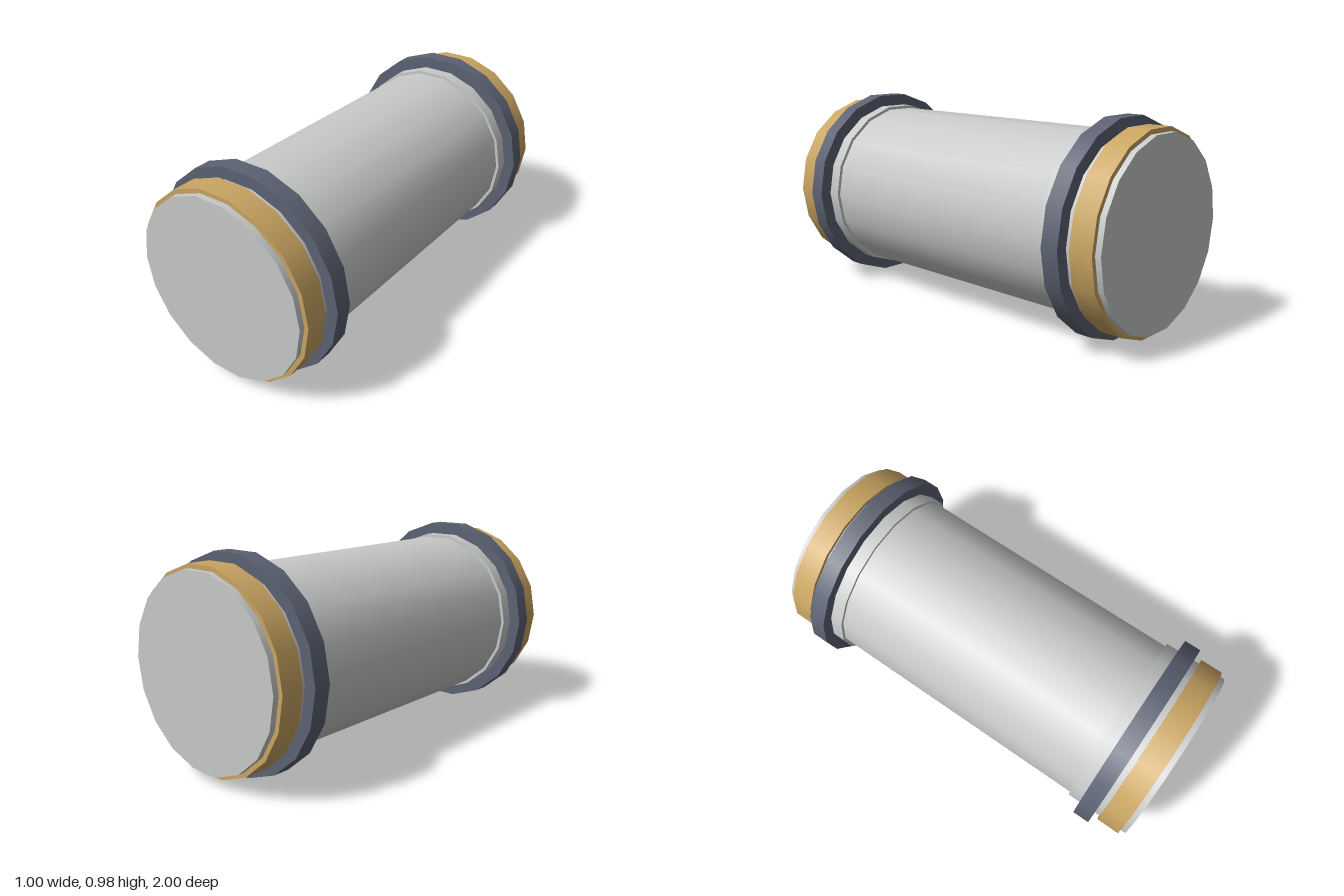
import * as THREE from 'three';

const SIDES = 18;
const CENTRE_Y = 0.492;

function material(name, color) {
  const m = new THREE.MeshStandardMaterial({ color });
  m.name = name;
  return m;
}

// Capped drum lying along z, with a corner on the +x and -x sides
function drum(name, radius, z0, z1, mat) {
  const geo = new THREE.CylinderGeometry(radius, radius, z1 - z0, SIDES, 1, false, Math.PI / 2);
  geo.rotateX(Math.PI / 2);
  const mesh = new THREE.Mesh(geo, mat);
  mesh.name = name;
  mesh.position.set(0, CENTRE_Y, (z0 + z1) / 2);
  return mesh;
}

export function createModel() {
  const grey = material('light grey metal', 0xc8cac9);
  const gold = material('gold', 0xcaa562);
  const navy = material('slate blue', 0x5c6273);

  const model = new THREE.Group();
  model.name = 'banded cylinder';

  // Main barrel
  model.add(drum('barrel', 0.427, -0.7, 0.7, grey));

  // Matching end assemblies: collar, flange and band
  for (const [side, s] of [['front', 1], ['back', -1]]) {
    const end = new THREE.Group();
    end.name = side + 'End';
    const ring = (name, r, a, b, mat) =>
      end.add(drum(side + name, r, Math.min(s * a, s * b), Math.max(s * a, s * b), mat));
    ring('Collar', 0.442, 0.683, 1.0, grey);
    ring('Flange', 0.5, 0.747, 0.83, navy);
    ring('Band', 0.463, 0.86, 0.972, gold);
    model.add(end);
  }
  return model;
}
